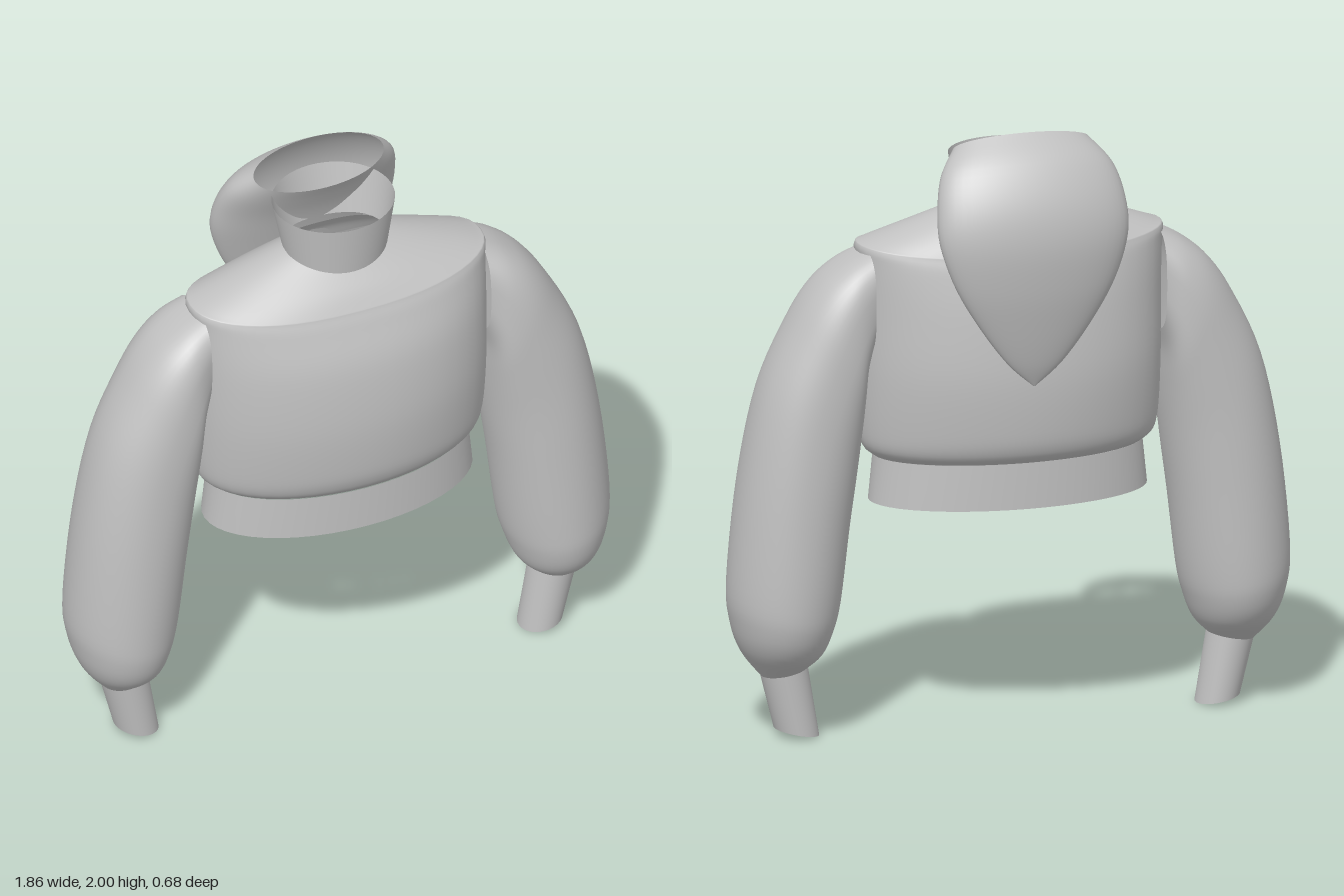
import * as THREE from 'three';

const SEGMENTS = 48;

// A ring: centre, two half-axes, squareness exponent, and how far front and back dip
function ring(c, u, v, n = 2, dip = 0) {
  return [...c, ...u, ...v, n, dip];
}

// Horizontal ring from its height, half width, front z and back z
function levelRing([y, rx, front, back, n = 2, dip = 0]) {
  return ring([0, y, (front + back) / 2], [rx, 0, 0], [0, 0, (front - back) / 2], n, dip);
}

function catmull(a, b, c, d, t) {
  return 0.5 * (2 * b + (c - a) * t + (2 * a - 5 * b + 4 * c - d) * t * t + (3 * b - a - 3 * c + d) * t * t * t);
}

// Smooth tube through a list of rings, open at both ends
function loft(rings, steps = 5) {
  const positions = [];
  const index = [];
  const last = rings.length - 1;
  const at = (i) => rings[Math.max(0, Math.min(last, i))];
  const rows = last * steps;
  for (let r = 0; r <= rows; r++) {
    const i = Math.min(Math.floor(r / steps), last - 1);
    const t = r / steps - i;
    const p = at(i).map((_, k) => catmull(at(i - 1)[k], at(i)[k], at(i + 1)[k], at(i + 2)[k], t));
    for (let s = 0; s < SEGMENTS; s++) {
      const angle = (s / SEGMENTS) * Math.PI * 2;
      const cos = Math.cos(angle);
      const sin = Math.sin(angle);
      const cu = Math.sign(cos) * Math.abs(cos) ** (2 / p[9]);
      const sv = Math.sign(sin) * Math.abs(sin) ** (2 / p[9]);
      for (let k = 0; k < 3; k++) {
        positions.push(p[k] + p[3 + k] * cu + p[6 + k] * sv - (k === 1 ? p[10] * sin * sin : 0));
      }
    }
  }
  for (let r = 0; r < rows; r++) {
    for (let s = 0; s < SEGMENTS; s++) {
      const a = r * SEGMENTS + s;
      const b = r * SEGMENTS + ((s + 1) % SEGMENTS);
      index.push(a, a + SEGMENTS, b, b, a + SEGMENTS, b + SEGMENTS);
    }
  }
  const geometry = new THREE.BufferGeometry();
  geometry.setAttribute('position', new THREE.Float32BufferAttribute(positions, 3));
  geometry.setIndex(index);
  geometry.computeVertexNormals();
  return geometry;
}

export function createModel() {
  const model = new THREE.Group();
  const fabric = new THREE.MeshStandardMaterial({ color: 0xc0c0c0, side: THREE.DoubleSide });
  fabric.name = 'grey fabric';

  const add = (name, rings, steps) => {
    const mesh = new THREE.Mesh(loft(rings, steps), fabric);
    mesh.name = name;
    model.add(mesh);
  };

  // Body, from the gathered waist to the neck hole
  add('body', [
    [0.91, 0.445, 0.29, -0.18],
    [0.945, 0.482, 0.315, -0.21],
    [1.02, 0.497, 0.333, -0.228],
    [1.2, 0.503, 0.34, -0.235, 2.1],
    [1.4, 0.503, 0.317, -0.212, 2.2],
    [1.56, 0.505, 0.272, -0.182, 2.3, 0.03],
    [1.615, 0.508, 0.25, -0.165, 2.3, 0.035],
    [1.63, 0.48, 0.242, -0.16, 2.3, 0.035],
    [1.68, 0.34, 0.205, -0.14, 2.1, 0.035],
    [1.74, 0.168, 0.15, -0.1, 2, 0.04],
  ].map(levelRing));

  // Waistband
  add('waistband', [
    [0.76, 0.46, 0.298, -0.19],
    [0.91, 0.445, 0.294, -0.184],
  ].map(levelRing), 1);

  // Standing collar
  add('collar', [
    [1.735, 0.172, 0.193, -0.12, 2, 0.025],
    [1.89, 0.2, 0.21, -0.16],
  ].map(levelRing), 1);

  // Hood hanging behind: back z and y, front z and y, half width
  add('hood', [
    [-0.16, 2.0, -0.025, 1.895, 0.225],
    [-0.25, 1.92, -0.06, 1.835, 0.285],
    [-0.315, 1.8, -0.1, 1.755, 0.312],
    [-0.34, 1.67, -0.135, 1.66, 0.312],
    [-0.329, 1.52, -0.175, 1.53, 0.265],
    [-0.302, 1.38, -0.207, 1.395, 0.185],
    [-0.27, 1.255, -0.228, 1.265, 0.09],
    [-0.24, 1.18, -0.238, 1.18, 0.002],
  ].map(([bz, by, fz, fy, rx]) => ring(
    [0, (by + fy) / 2, (bz + fz) / 2], [rx, 0, 0], [0, (fy - by) / 2, (fz - bz) / 2])));

  // Sleeve and cuff rings: outer x and y, inner x and y, centre z, half depth, squareness
  const sleeve = [
    [0.485, 1.605, 0.485, 1.27, 0.035, 0.14, 3],
    [0.565, 1.567, 0.498, 1.2, 0.038, 0.165, 2.8],
    [0.65, 1.5, 0.5, 1.1, 0.04, 0.18, 2.5],
    [0.73, 1.385, 0.505, 1.0, 0.042, 0.185, 2.3],
    [0.83, 1.17, 0.518, 0.87, 0.044, 0.19, 2.2],
    [0.895, 0.87, 0.54, 0.7, 0.046, 0.198, 2.1],
    [0.931, 0.53, 0.568, 0.46, 0.047, 0.203, 2],
    [0.92, 0.39, 0.592, 0.36, 0.05, 0.194, 2],
    [0.885, 0.29, 0.622, 0.285, 0.056, 0.155, 2],
    [0.82, 0.207, 0.668, 0.235, 0.061, 0.078, 2],
  ];
  const cuff = [
    [0.82, 0.207, 0.668, 0.235, 0.061, 0.078, 2],
    [0.775, 0.035, 0.63, 0.005, 0.061, 0.077, 2],
  ];
  // The cuff opening sits square to the forearm
  cuff[1][1] = 0.03;
  cuff[1][3] = 0.002;

  for (const side of [1, -1]) {
    const toRing = ([ox, oy, ix, iy, z, rz, n]) => ring(
      [(side * (ox + ix)) / 2, (oy + iy) / 2, z],
      [(side * (ox - ix)) / 2, (oy - iy) / 2, 0], [0, 0, rz], n);
    const label = side > 0 ? 'left' : 'right';
    add(label + 'Sleeve', sleeve.map(toRing));
    add(label + 'Cuff', cuff.map(toRing), 1);
  }
  return model;
}
